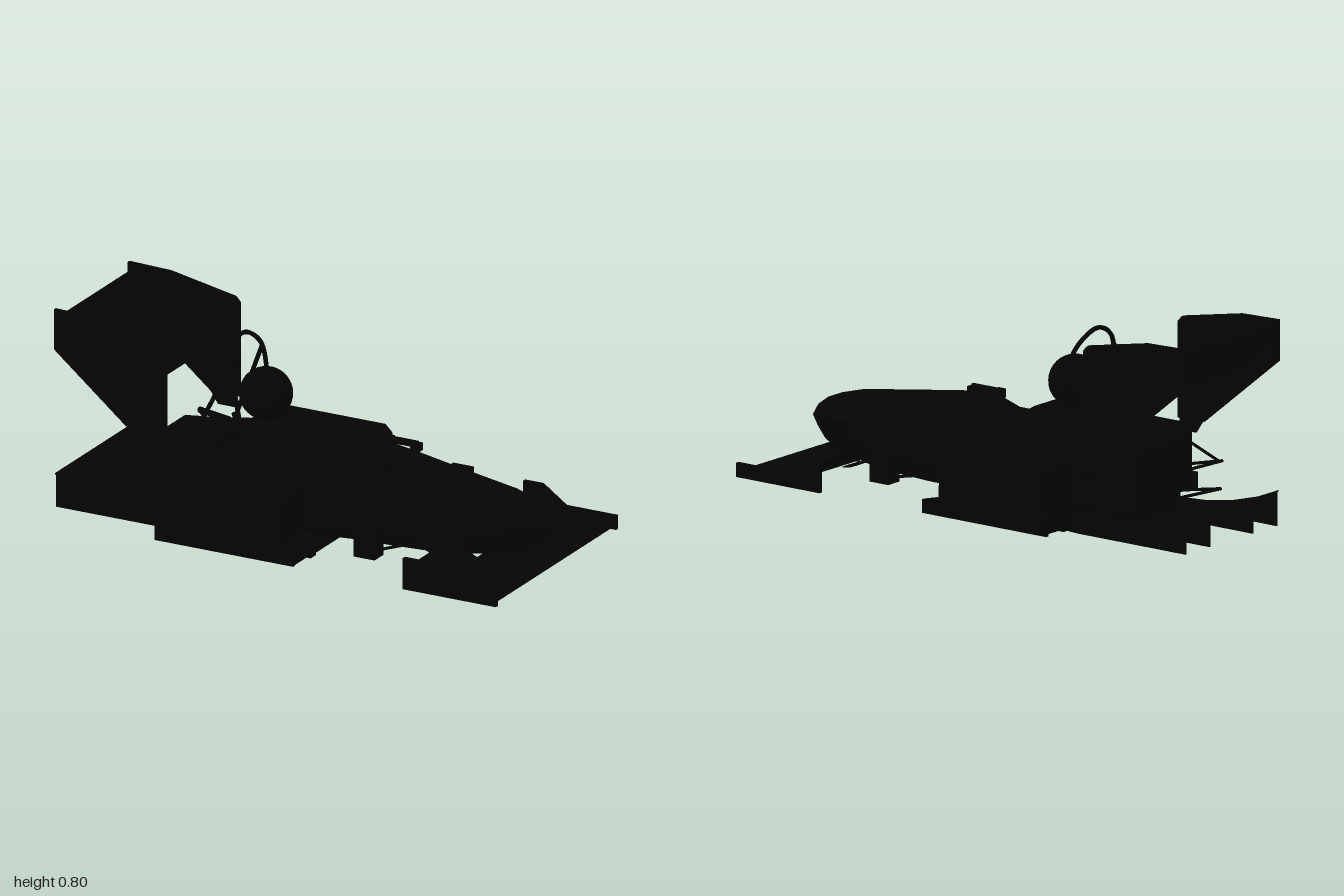
import * as THREE from 'three';
import { toCreasedNormals } from 'three/addons/utils/BufferGeometryUtils.js';

export function createModel() {
  const car = new THREE.Group();
  car.name = 'openWheelRaceCar';
  const black = new THREE.MeshStandardMaterial({ color: 0x040405, side: THREE.DoubleSide });
  const V = (p) => new THREE.Vector3(...p);

  function add(name, geometry, x = 0, y = 0, z = 0) {
    const mesh = new THREE.Mesh(geometry, black);
    mesh.name = name;
    mesh.position.set(x, y, z);
    car.add(mesh);
    return mesh;
  }
  const box = (name, w, h, d, x, y, z) => add(name, new THREE.BoxGeometry(w, h, d), x, y, z);

  // Side outline in x, y, extruded to a given width around z
  function slab(name, points, width, z = 0) {
    const shape = new THREE.Shape(points.map(([x, y]) => new THREE.Vector2(x, y)));
    const g = new THREE.ExtrudeGeometry(shape, { depth: width, bevelEnabled: false });
    g.translate(0, 0, -width / 2);
    return add(name, toCreasedNormals(g, 0.5), 0, 0, z);
  }

  // Cambered wing section from leading point a to trailing point b
  function foil(name, a, b, thick, camber, width, z = 0) {
    const dx = b[0] - a[0], dy = b[1] - a[1], len = Math.hypot(dx, dy);
    const nx = dy / len, ny = -dx / len;
    const upper = [], lower = [];
    for (let i = 0; i <= 12; i++) {
      const t = (i / 12) ** 1.5;
      const half = thick * (1.3 * Math.sqrt(t) * (1 - t) + 0.06);
      const bow = -camber * 4 * t * (1 - t);
      upper.push([a[0] + dx * t + nx * (bow + half), a[1] + dy * t + ny * (bow + half)]);
      lower.unshift([a[0] + dx * t + nx * (bow - half), a[1] + dy * t + ny * (bow - half)]);
    }
    return slab(name, [...upper, ...lower], width, z);
  }

  function rod(name, a, b, r = 0.006) {
    const p = V(a), q = V(b);
    const mesh = add(name, new THREE.CylinderGeometry(r, r, p.distanceTo(q), 8));
    mesh.position.copy(p).lerp(q, 0.5);
    mesh.quaternion.setFromUnitVectors(new THREE.Vector3(0, 1, 0), q.sub(p).normalize());
  }

  // Hull stations: x, bottom, shoulder height, top, bottom half width, shoulder half width, top half width
  const stations = [
    [0.98, 0.165, 0.185, 0.2, 0.015, 0.025, 0.015],
    [0.96, 0.14, 0.19, 0.225, 0.035, 0.06, 0.03],
    [0.9, 0.105, 0.2, 0.265, 0.07, 0.1, 0.05],
    [0.8, 0.075, 0.21, 0.292, 0.1, 0.13, 0.06],
    [0.6, 0.045, 0.23, 0.32, 0.13, 0.155, 0.07],
    [0.36, 0.04, 0.25, 0.352, 0.145, 0.17, 0.09],
    [0.21, 0.04, 0.27, 0.37, 0.155, 0.18, 0.1],
    [0.12, 0.035, 0.28, 0.325, 0.16, 0.185, 0.12],
    [0, 0.015, 0.285, 0.32, 0.16, 0.19, 0.13],
    [-0.15, 0.015, 0.3, 0.412, 0.16, 0.195, 0.145],
    [-0.285, 0.015, 0.3, 0.412, 0.16, 0.195, 0.145],
    [-0.31, 0.015, 0.27, 0.3, 0.155, 0.19, 0.15],
    [-0.372, 0.015, 0.27, 0.3, 0.15, 0.185, 0.15],
    [-0.374, 0.015, 0.28, 0.34, 0.15, 0.185, 0.14],
    [-0.5, 0.015, 0.28, 0.325, 0.145, 0.17, 0.12],
    [-0.65, 0.015, 0.26, 0.31, 0.13, 0.15, 0.11],
  ];
  const sides = 12, pos = [], index = [];
  for (const [x, b, s, t, wb, ws, wt] of stations) {
    const low = b + (s - b) * 0.18, high = s + (t - s) * 0.6;
    const half = [[wb * 0.85, b], [wb, low], [(wb + ws) / 2, (low + s) / 2], [ws, s], [ws * 0.4 + wt * 0.6, high], [wt * 0.85, t]];
    half.forEach(([z, y]) => pos.push(x, y, z));
    half.reverse().forEach(([z, y]) => pos.push(x, y, -z));
  }
  for (let i = 0; i < stations.length - 1; i++) {
    for (let j = 0; j < sides; j++) {
      const a = i * sides + j, b = i * sides + (j + 1) % sides;
      index.push(a, b, a + sides, b, b + sides, a + sides);
    }
  }
  const last = (stations.length - 1) * sides;
  for (let j = 1; j < sides - 1; j++) {
    index.push(0, j + 1, j, last, last + j, last + j + 1);
  }
  const hull = new THREE.BufferGeometry();
  hull.setAttribute('position', new THREE.Float32BufferAttribute(pos, 3));
  hull.setIndex(index);
  add('hull', toCreasedNormals(hull, 0.45));

  // Shoulder cowl bulging from both flanks, drawn in plan
  const flank = [[0.12, 0.17], [0.02, 0.205], [-0.12, 0.235], [-0.28, 0.24], [-0.42, 0.215], [-0.52, 0.16]];
  const plan = new THREE.Shape([...flank, ...flank.map(([x, z]) => [x, -z]).reverse()].map((p) => new THREE.Vector2(...p)));
  const cowl = new THREE.ExtrudeGeometry(plan, { depth: 0.06, bevelSize: 0.012, bevelThickness: 0.012, bevelSegments: 3 });
  cowl.rotateX(Math.PI / 2);
  add('shoulderCowl', toCreasedNormals(cowl, 0.6), 0, 0.277, 0);

  // Driver's helmet and roll hoop
  add('helmet', new THREE.SphereGeometry(0.102, 32, 20), -0.25, 0.502, 0);
  const hoop = [[-0.285, 0.36, 0.122], [-0.31, 0.5, 0.126], [-0.335, 0.64, 0.124], [-0.35, 0.7, 0.07], [-0.355, 0.724, 0]];
  const hoopPath = [...hoop, ...hoop.slice(0, -1).reverse().map(([x, y, z]) => [x, y, -z])].map(V);
  add('rollHoop', new THREE.TubeGeometry(new THREE.CatmullRomCurve3(hoopPath), 48, 0.009, 8));

  // Floor and diffuser with curved roof
  box('floor', 0.58, 0.02, 0.58, -0.17, 0.03, 0);
  const roof = [[-0.3, 0.03], [-0.48, 0.034], [-0.65, 0.044], [-0.78, 0.064], [-0.9, 0.097], [-1, 0.138]];
  slab('diffuserRoof', [...roof, ...roof.map(([x, y]) => [x, y - 0.006]).reverse()], 0.57);
  for (const z of [-0.276, -0.13, 0.13, 0.276]) {
    slab('diffuserFence', [...roof, [-1, 0], [-0.48, 0], [-0.3, 0.01]], 0.005, z);
  }

  // Rear wing
  foil('rearMainPlane', [-0.55, 0.6], [-0.81, 0.59], 0.018, 0.04, 0.57);
  foil('rearLowerFlap', [-0.79, 0.592], [-0.92, 0.685], 0.012, 0.014, 0.57);
  foil('rearUpperFlap', [-0.9, 0.67], [-0.99, 0.768], 0.01, 0.01, 0.57);

  // Front wing
  foil('frontMainPlane', [1, 0.045], [0.72, 0.055], 0.016, 0.008, 0.94);

  for (const s of [1, -1]) {
    // Front wing flaps, end plates and nose pylons
    foil('frontFlap', [0.77, 0.055], [0.64, 0.135], 0.01, 0.012, 0.32, s * 0.31);
    foil('innerFlap', [0.67, 0.07], [0.54, 0.13], 0.008, 0.01, 0.1, s * 0.2);
    slab('frontEndPlate', [[0.6, 0.025], [1, 0.025], [1, 0.08], [0.78, 0.08], [0.68, 0.15], [0.6, 0.15]], 0.018, s * 0.47);
    box('nosePylon', 0.14, 0.08, 0.008, 0.8, 0.085, s * 0.07);

    // Rear wing end plates with thin lower tabs
    slab('rearEndPlate', [[-1, 0.64], [-0.64, 0.345], [-0.52, 0.345], [-0.52, 0.72], [-0.54, 0.742], [-0.82, 0.795], [-1, 0.8]], 0.016, s * 0.288);
    slab('rearEndPlateTab', [[-0.64, 0.345], [-0.61, 0.3], [-0.53, 0.3], [-0.53, 0.345]], 0.004, s * 0.281);

    // Side pods with low outer lips and inner skids
    slab('sidePod', [[-0.46, 0.025], [0.1, 0.025], [0.05, 0.09], [0.04, 0.25], [0.01, 0.275], [-0.46, 0.275]], 0.155, s * 0.3625);
    slab('sidePodPlate', [[-0.46, 0.025], [0.06, 0.025], [0.05, 0.25], [0.02, 0.28], [-0.46, 0.28]], 0.006, s * 0.44);
    slab('sidePodLip', [[-0.475, 0.022], [0.12, 0.022], [0.12, 0.075], [0.06, 0.09], [-0.475, 0.09]], 0.014, s * 0.455);
    box('sideFloor', 0.57, 0.012, 0.17, -0.165, 0.031, s * 0.375);
    box('sideSkid', 0.57, 0.025, 0.04, -0.165, 0.023, s * 0.305);

    // Roll hoop braces
    rod('hoopBrace', [-0.335, 0.64, s * 0.124], [-0.485, 0.3, s * 0.185], 0.009);
    rod('hoopBraceFoot', [-0.485, 0.32, s * 0.18], [-0.45, 0.27, s * 0.15], 0.012);

    // Front suspension
    box('frontUpright', 0.09, 0.12, 0.07, 0.385, 0.14, s * 0.355);
    for (const [y, hy] of [[0.185, 0.21], [0.095, 0.1]]) {
      rod('frontWishbone', [0.385, y, s * 0.35], [0.21, hy, s * 0.155]);
      rod('frontWishbone', [0.385, y, s * 0.35], [0.54, hy, s * 0.135]);
    }
    rod('frontPushRod', [0.385, 0.11, s * 0.345], [0.33, 0.31, s * 0.14]);
    rod('steeringRod', [0.42, 0.14, s * 0.35], [0.46, 0.14, s * 0.13]);
    const damper = add('frontDamper', new THREE.CylinderGeometry(0.014, 0.014, 0.13, 12), 0.27, 0.362, s * 0.12);
    damper.rotation.z = Math.PI / 2;
    box('damperMount', 0.035, 0.035, 0.04, 0.21, 0.355, s * 0.12);
    box('damperMount', 0.035, 0.03, 0.04, 0.33, 0.35, s * 0.12);

    // Rear suspension
    rod('rearWishbone', [-0.685, 0.19, s * 0.345], [-0.48, 0.17, s * 0.15]);
    rod('rearWishbone', [-0.685, 0.19, s * 0.345], [-0.64, 0.18, s * 0.14]);
    rod('rearWishbone', [-0.69, 0.085, s * 0.33], [-0.48, 0.08, s * 0.14]);
    rod('rearWishbone', [-0.69, 0.085, s * 0.33], [-0.64, 0.08, s * 0.13]);
    rod('rearPushRod', [-0.68, 0.19, s * 0.33], [-0.63, 0.31, s * 0.17]);
    rod('rearRocker', [-0.63, 0.31, s * 0.17], [-0.48, 0.31, s * 0.13], 0.012);
  }
  return car;
}
